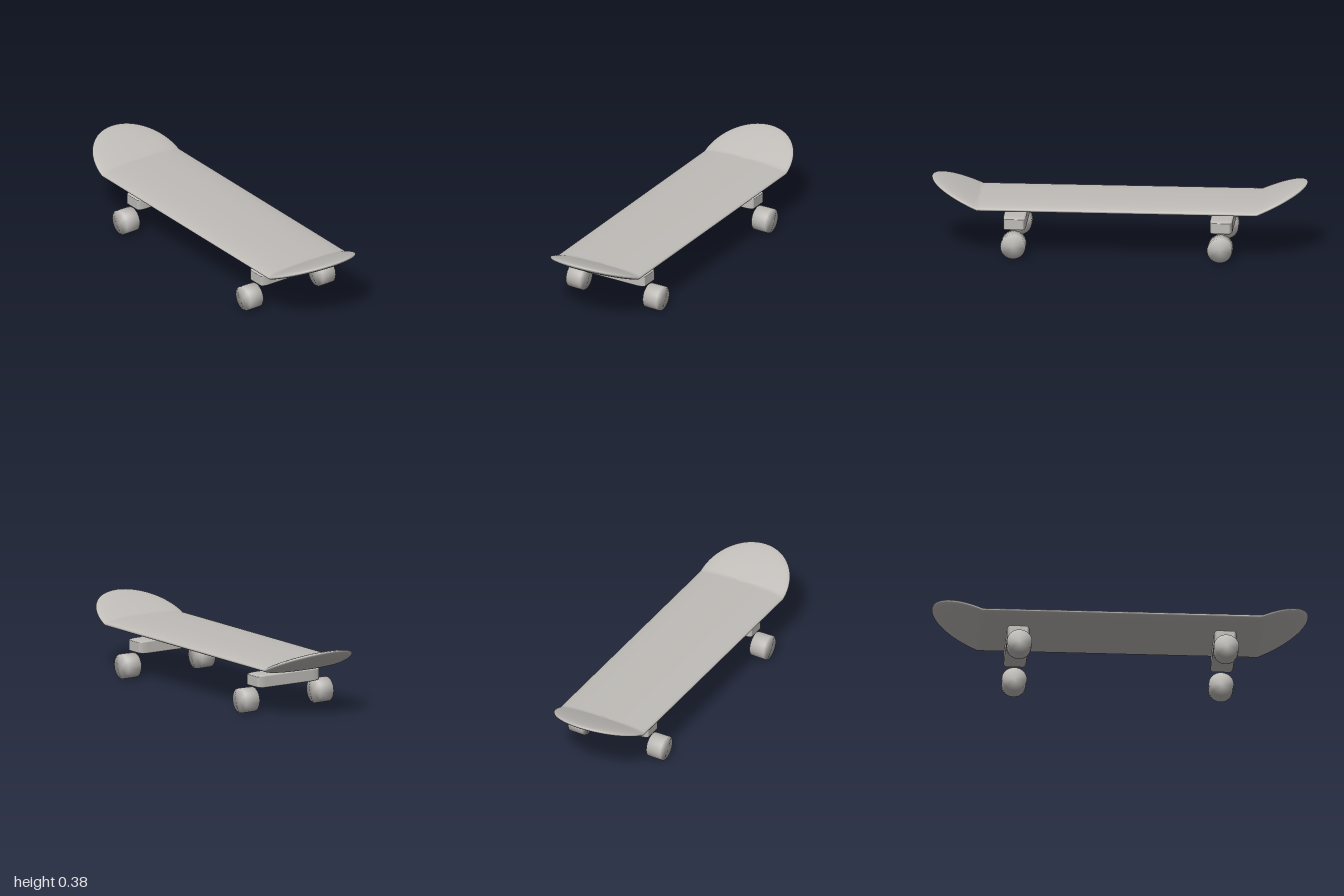
import * as THREE from 'three';
import { mergeVertices } from 'three/addons/utils/BufferGeometryUtils.js';
import { RoundedBoxGeometry } from 'three/addons/geometries/RoundedBoxGeometry.js';

const HALF_WIDTH = 0.256; // deck half width and radius of its round ends
const BEND = 1 - HALF_WIDTH; // x where nose and tail kick up
const MID_Y = 0.26;

// Lens-shaped stadium: closed loops from the top centre line to the bottom one
function deckGeometry() {
  const outline = []; // [spine x, outward x, outward z]
  const capSteps = 32;
  for (const side of [1, -1]) {
    outline.push([side * (BEND - 0.015), 0, -side]);
    for (let i = 0; i <= capSteps; i++) {
      const t = -Math.PI / 2 + (Math.PI * i) / capSteps;
      outline.push([side * BEND, side * Math.cos(t), side * Math.sin(t)]);
    }
    outline.push([side * (BEND - 0.015), 0, side]);
  }
  const rows = 28, n = outline.length;
  const positions = [], indices = [];
  for (let r = 0; r <= rows; r++) {
    const phi = (Math.PI * r) / rows;
    const spread = HALF_WIDTH * Math.pow(Math.abs(Math.sin(phi)), 0.85);
    const lift = 0.027 * Math.sign(Math.cos(phi)) * Math.pow(Math.abs(Math.cos(phi)), 0.85);
    for (const [cx, dx, dz] of outline) {
      const x = cx + dx * spread;
      const kick = 0.44 * Math.max(0, Math.abs(x) - BEND);
      positions.push(x, MID_Y + lift + kick, dz * spread);
    }
  }
  for (let r = 0; r < rows; r++) {
    for (let j = 0; j < n; j++) {
      const k = (j + 1) % n;
      const a = r * n + j, b = a + n, c = r * n + k, d = c + n;
      indices.push(a, c, b, c, d, b);
    }
  }
  const geo = new THREE.BufferGeometry();
  geo.setAttribute('position', new THREE.Float32BufferAttribute(positions, 3));
  geo.setIndex(indices);
  const merged = mergeVertices(geo, 1e-5);
  merged.computeVertexNormals();
  return merged;
}

// Cylinder with shading blended over its rims
function wheelGeometry() {
  const geo = new THREE.CylinderGeometry(0.067, 0.067, 0.084, 32);
  geo.rotateX(Math.PI / 2);
  geo.deleteAttribute('normal');
  geo.deleteAttribute('uv');
  const merged = mergeVertices(geo, 1e-5);
  merged.computeVertexNormals();
  return merged;
}

export function createModel() {
  const model = new THREE.Group();
  model.name = 'skateboard';
  const grey = new THREE.MeshStandardMaterial({ color: 0xbfbcb8 });
  grey.name = 'warm grey';

  const add = (name, geo, x, y, z) => {
    const mesh = new THREE.Mesh(geo, grey);
    mesh.name = name;
    mesh.position.set(x, y, z);
    model.add(mesh);
  };

  add('deck', deckGeometry(), 0, 0, 0);

  // Truck: rounded cube stretched across the board
  const truck = new RoundedBoxGeometry(1, 1, 1, 5, 0.13);
  truck.scale(0.12, 0.072, 0.4);
  const wheel = wheelGeometry();

  for (const sx of [1, -1]) {
    const end = sx > 0 ? 'left' : 'right';
    add(end + 'Truck', truck, sx * 0.55, 0.166, 0);
    for (const sz of [1, -1]) {
      add(end + (sz > 0 ? 'FrontWheel' : 'BackWheel'), wheel, sx * 0.55, 0.067, sz * 0.239);
    }
  }
  return model;
}
